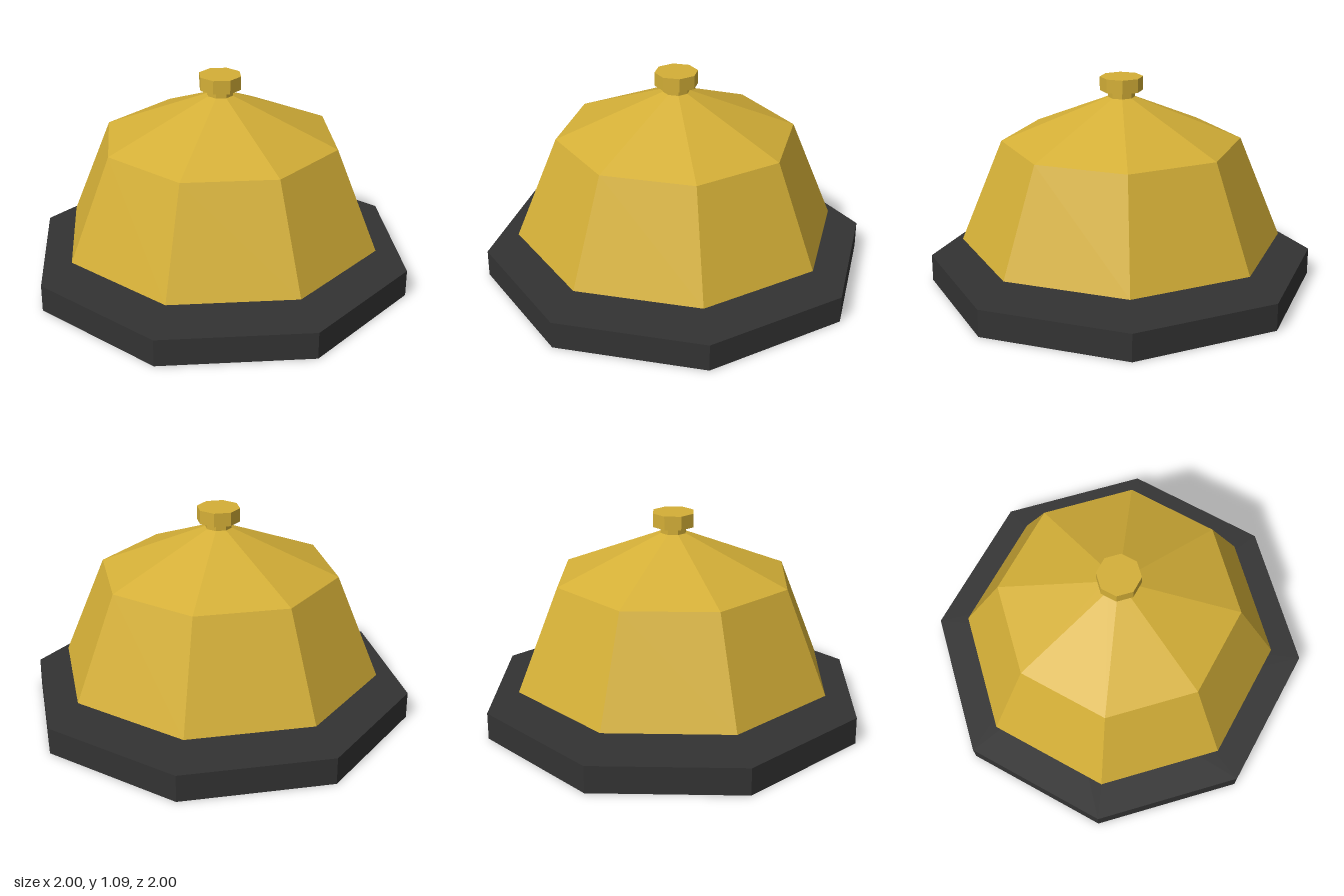
import * as THREE from 'three';

const SIDES = 8;

// Low-poly turned shell from a profile of [radius, height], bottom to top
function turned(name, profile, color) {
  const points = profile.map(([r, y]) => new THREE.Vector2(r, y));
  const mesh = new THREE.Mesh(
    new THREE.LatheGeometry(points, SIDES),
    new THREE.MeshStandardMaterial({ color, flatShading: true, side: THREE.DoubleSide })
  );
  mesh.name = name;
  return mesh;
}

export function createModel() {
  const group = new THREE.Group();
  group.name = 'deskBell';
  const brass = 0xd4af37;
  const black = 0x333333;

  // Hollow base: outer wall and top plate, open below and around the stem
  group.add(turned('base', [[1, 0], [1, 0.14], [0.37, 0.14]], black));

  // Short tapered collar between base and bell
  group.add(turned('collar', [[0.37, 0.14], [0.355, 0.23]], brass));

  // Hollow bell: underside rim, flared skirt and shallow shoulder
  group.add(turned('bell', [[0.355, 0.23], [0.833, 0.23], [0.615, 0.76], [0.068, 0.985]], brass));

  // Push button: neck, overhanging head and flat cap
  group.add(turned('button', [[0.068, 0.985], [0.068, 1.02], [0.11, 1.02], [0.11, 1.09], [0, 1.09]], brass));

  return group;
}
